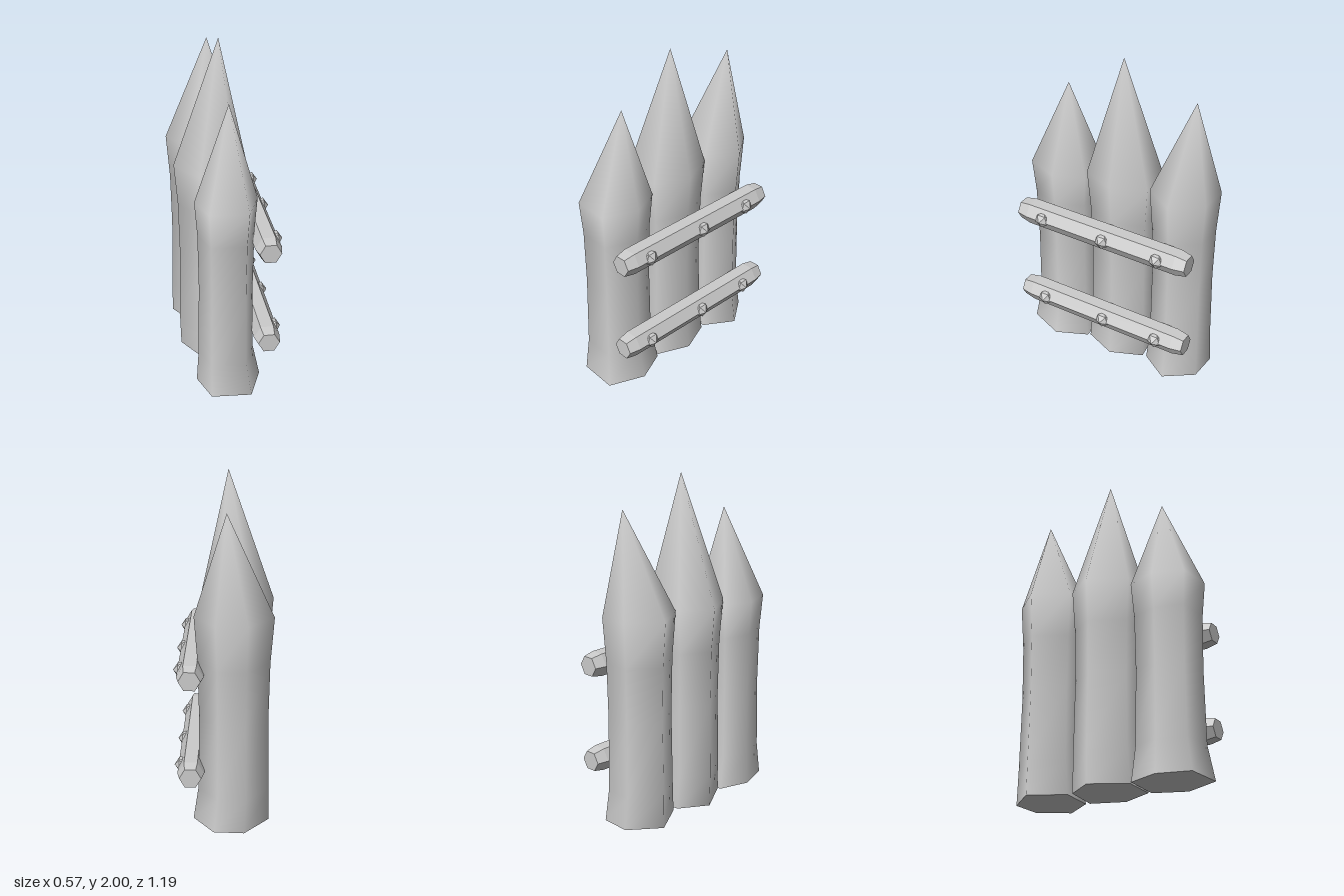
import * as THREE from 'three';

const material = new THREE.MeshStandardMaterial({ color: 0xcccccc });
const flatMaterial = new THREE.MeshStandardMaterial({ color: 0xcccccc, flatShading: true });

// Each post: centre, shoulder height, pointed tip and a slightly uneven six-sided section [x, z]
const posts = [
  { name: 'frontPost', centre: [-0.04, 0.39], shoulder: 1.19, tip: [-0.02, 1.75, 0.35], base: 1.06,
    section: [[-0.16, 0.21], [0.06, 0.2], [0.14, 0.38], [0.06, 0.58], [-0.16, 0.565], [-0.22, 0.385]] },
  { name: 'middlePost', centre: [-0.05, -0.02], shoulder: 1.24, tip: [-0.02, 2, -0.02], base: 0.95,
    section: [[-0.17, -0.195], [0.06, -0.225], [0.145, -0.02], [0.06, 0.185], [-0.16, 0.195], [-0.285, -0.02]] },
  { name: 'backPost', centre: [-0.05, -0.405], shoulder: 1.25, tip: [-0.02, 1.85, -0.48], base: 0.98,
    section: [[-0.14, -0.598], [0.04, -0.59], [0.165, -0.415], [0.05, -0.235], [-0.165, -0.215], [-0.285, -0.42]] },
];

// Loft the section through flared foot, narrow trunk and shoulder up to the tip
function postGeometry({ centre, shoulder, tip, section, base }) {
  const rings = [[0, base], [0.2, 0.91], [0.65, 0.88], [0.98, 0.91], [shoulder, 1]];
  const pos = [], index = [], n = section.length;
  const addRing = (y, s) => section.forEach(([x, z]) => pos.push(
    centre[0] + (x - centre[0]) * s + (y === 0 ? 0.015 : 0), y, centre[1] + (z - centre[1]) * s));
  rings.forEach(([y, s]) => addRing(y, s));
  const top = pos.length / 3;
  pos.push(...tip);
  for (let r = 0; r < rings.length; r++) {
    for (let i = 0; i < n; i++) {
      const a = r * n + i, b = r * n + (i + 1) % n;
      if (r === rings.length - 1) index.push(b, a, top);
      else index.push(b, a, a + n, b, a + n, b + n);
    }
  }
  // Underside has its own vertices so its edge stays sharp
  const foot = pos.length / 3;
  addRing(0, base);
  for (let i = 1; i < n - 1; i++) index.push(foot, foot + i, foot + i + 1);
  const geometry = new THREE.BufferGeometry();
  geometry.setAttribute('position', new THREE.Float32BufferAttribute(pos, 3));
  geometry.setIndex(index);
  geometry.computeVertexNormals();
  return geometry;
}

// Six-sided bar along z with chamfered ends
function railGeometry() {
  const profile = [[0, -0.575], [0.063, -0.575], [0.077, -0.505], [0.077, 0.495], [0.063, 0.565], [0, 0.565]];
  return new THREE.LatheGeometry(profile.map(([r, y]) => new THREE.Vector2(r, y)), 6)
    .rotateY(Math.PI / 2).rotateX(Math.PI / 2);
}

// Faceted nail head with one corner pointing outward along +x
function nailGeometry() {
  return new THREE.IcosahedronGeometry(0.05, 0).rotateZ(Math.atan2((1 + Math.sqrt(5)) / 2, 1));
}

export function createModel() {
  const group = new THREE.Group();
  const add = (parent, name, geometry, mat, x = 0, y = 0, z = 0) => {
    const mesh = new THREE.Mesh(geometry, mat);
    mesh.name = name;
    mesh.position.set(x, y, z);
    parent.add(mesh);
  };

  // Sharpened stakes
  for (const post of posts) add(group, post.name, postGeometry(post), material);

  // Two cross rails, each nailed to every stake
  const rail = railGeometry(), nail = nailGeometry();
  for (const [name, y] of [['lowerRail', 0.335], ['upperRail', 0.925]]) {
    const assembly = new THREE.Group();
    assembly.name = name;
    add(assembly, 'rail', rail, flatMaterial, 0.185, y, 0);
    for (const z of [0.39, -0.03, -0.395]) add(assembly, 'nail', nail, flatMaterial, 0.235, y + 0.003, z);
    group.add(assembly);
  }
  return group;
}
